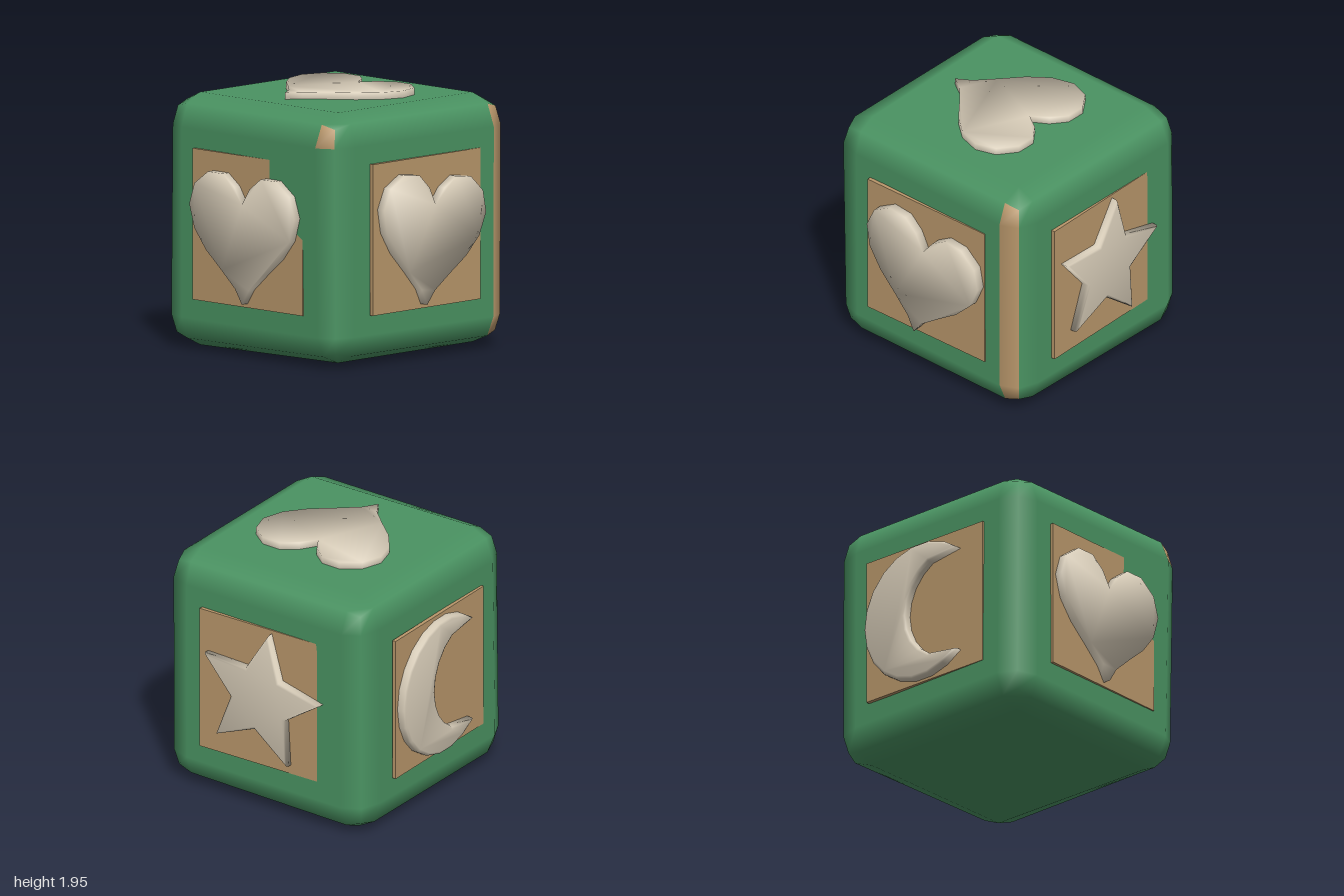
import * as THREE from 'three';
import { mergeVertices } from 'three/addons/utils/BufferGeometryUtils.js';
import { RoundedBoxGeometry } from 'three/addons/geometries/RoundedBoxGeometry.js';

const INNER = 0.71; // where the flat faces end and the chamfers begin
const MID = 0.95;   // height of the block's centre

// Reach of each corner along x, y and z: slightly uneven, as if hand-cut
const CORNERS = {
  '1,1,1': [0.895, 0.95, 0.952], '1,1,-1': [0.93, 0.945, 0.905],
  '1,-1,1': [0.885, 0.92, 0.926], '1,-1,-1': [0.925, 0.92, 0.90],
  '-1,1,1': [0.92, 0.95, 0.909], '-1,1,-1': [0.89, 0.945, 0.945],
  '-1,-1,1': [0.94, 0.94, 0.91], '-1,-1,-1': [0.90, 0.95, 0.945],
};

// Chamfered cube whose eight corners are stretched by the table above
function blockGeometry() {
  const geo = new RoundedBoxGeometry(1.86, 1.86, 1.86, 1, 0.22);
  const pos = geo.attributes.position, nor = geo.attributes.normal;
  for (let i = 0; i < pos.count; i++) {
    const s = [pos.getX(i), pos.getY(i), pos.getZ(i)].map(Math.sign);
    const n = [nor.getX(i), nor.getY(i), nor.getZ(i)];
    const reach = CORNERS[s.join()];
    pos.setXYZ(i, ...s.map((sg, k) => sg * (INNER + Math.abs(n[k]) * (reach[k] - INNER))));
  }
  geo.clearGroups();
  return geo;
}

// Sort the triangles into painted ones and worn, bare ones
function splitBlock(geo) {
  const pos = geo.attributes.position, painted = [], bare = [];
  const perFace = pos.count / 6;
  for (let i = 0; i < pos.count; i += 3) {
    const mean = (k) => (pos.getComponent(i, k) + pos.getComponent(i + 1, k) + pos.getComponent(i + 2, k)) / 3;
    const face = Math.floor(i / perFace); // 0 is +x, 4 is +z
    const worn = (face === 0 && mean(2) < -0.72) || (face === 4 && mean(0) > 0.72 && mean(1) > 0.72);
    (worn ? bare : painted).push(i, i + 1, i + 2);
  }
  return [painted, bare].map((index) => geo.clone().setIndex(index));
}

// Angle-weighted normals across every edge, for a soft cushioned look
function smooth(source) {
  source.deleteAttribute('uv');
  source.deleteAttribute('normal');
  const geo = mergeVertices(source, 1e-4);
  geo.clearGroups();
  const pos = geo.attributes.position, idx = geo.index;
  const sums = Array.from({ length: pos.count }, () => new THREE.Vector3());
  for (let t = 0; t < idx.count; t += 3) {
    const id = [0, 1, 2].map((k) => idx.getX(t + k));
    const p = id.map((v) => new THREE.Vector3().fromBufferAttribute(pos, v));
    const n = new THREE.Triangle(...p).getNormal(new THREE.Vector3());
    id.forEach((v, k) => {
      const a = p[(k + 1) % 3].clone().sub(p[k]), b = p[(k + 2) % 3].clone().sub(p[k]);
      if (a.lengthSq() > 0 && b.lengthSq() > 0) sums[v].addScaledVector(n, a.angleTo(b));
    });
  }
  geo.setAttribute('normal', new THREE.BufferAttribute(new Float32Array(pos.count * 3), 3));
  sums.forEach((n, v) => geo.attributes.normal.setXYZ(v, ...n.normalize().toArray()));
  return geo;
}

// Raised shape from an outline, its front at 1.0 from the block's centre
function relief(points, bevel = 0) {
  const depth = 0.12;
  const geo = new THREE.ExtrudeGeometry(new THREE.Shape(points), {
    depth: depth - 2 * bevel, bevelEnabled: bevel > 0, bevelSize: bevel,
    bevelThickness: bevel, bevelOffset: -bevel, bevelSegments: 2,
  });
  geo.translate(0, 0, 1 - depth + bevel);
  return smooth(geo);
}

function heartPoints() {
  const half = [[0.07, -0.42], [0.21, -0.295], [0.37, -0.16], [0.49, -0.01], [0.542, 0.165],
    [0.49, 0.325], [0.35, 0.427], [0.195, 0.427], [0.08, 0.34]];
  const right = half.map(([x, y]) => new THREE.Vector2(x, y));
  const left = half.map(([x, y]) => new THREE.Vector2(-x, y)).reverse();
  return [new THREE.Vector2(0, -0.53), ...right, new THREE.Vector2(0, 0.215), ...left];
}

function starPoints() {
  return Array.from({ length: 10 }, (_, i) => {
    const a = Math.PI / 2 + (i * Math.PI) / 5, r = i % 2 ? 0.26 : 0.55;
    return new THREE.Vector2(r * Math.cos(a), r * Math.sin(a));
  });
}

function moonPoints() {
  const points = [], tip = 0.86, inner = 1.775, r = 0.418, cx = 0.278;
  // outer arc round the closed side, then back along the inner arc
  for (let i = 0; i <= 16; i++) {
    const a = tip + ((2 * Math.PI - 2 * tip) * i) / 16;
    points.push(new THREE.Vector2(0.545 * Math.cos(a), 0.545 * Math.sin(a)));
  }
  for (let i = 1; i < 10; i++) {
    const a = -inner - ((2 * Math.PI - 2 * inner) * i) / 10;
    points.push(new THREE.Vector2(cx + r * Math.cos(a), r * Math.sin(a)));
  }
  return points;
}

export function createModel() {
  const mat = (name, color) => {
    const m = new THREE.MeshStandardMaterial({ color });
    m.name = name;
    return m;
  };
  const green = mat('green paint', 0x4a9362);
  const tan = mat('bare wood', 0xb9976b);
  const cream = mat('cream', 0xd5cab6);

  const model = new THREE.Group();
  model.name = 'toyBlock';
  const add = (parent, name, geo, material) => {
    const mesh = new THREE.Mesh(geo, material);
    mesh.name = name;
    parent.add(mesh);
    return mesh;
  };

  // Block and its worn edge and corner
  const [painted, bare] = splitBlock(blockGeometry());
  add(model, 'block', painted, green).position.y = MID;
  add(model, 'wornEdges', bare, tan).position.y = MID;

  // One decorated side each: rotation of the side, panel reach, shape and its tilt
  const heart = relief(heartPoints());
  const sides = [
    { name: 'front', ry: 0, panel: 0.9375, shape: 'heart', geo: heart, tilt: 0 },
    { name: 'left', ry: Math.PI / 2, panel: 0.931, shape: 'heart', geo: heart, tilt: -0.12 },
    { name: 'back', ry: Math.PI, panel: 0.938, shape: 'star', geo: relief(starPoints(), 0.025), tilt: -0.15 },
    { name: 'right', ry: -Math.PI / 2, panel: 0.938, shape: 'moon', geo: relief(moonPoints(), 0.025), tilt: 0 },
    { name: 'top', rx: -Math.PI / 2, ry: 0, shape: 'heart', geo: heart, tilt: -0.03 },
  ];
  for (const s of sides) {
    const side = new THREE.Group();
    side.name = s.name + 'Side';
    side.position.y = MID;
    side.rotation.set(s.rx || 0, s.ry, 0);
    if (s.panel) {
      const panel = add(side, s.name + 'Panel', new THREE.BoxGeometry(1.135, 1.13, 0.03), tan);
      panel.position.set(0, 0.005, s.panel - 0.015);
    }
    add(side, s.name + s.shape[0].toUpperCase() + s.shape.slice(1), s.geo, cream).rotation.z = s.tilt;
    model.add(side);
  }
  return model;
}
